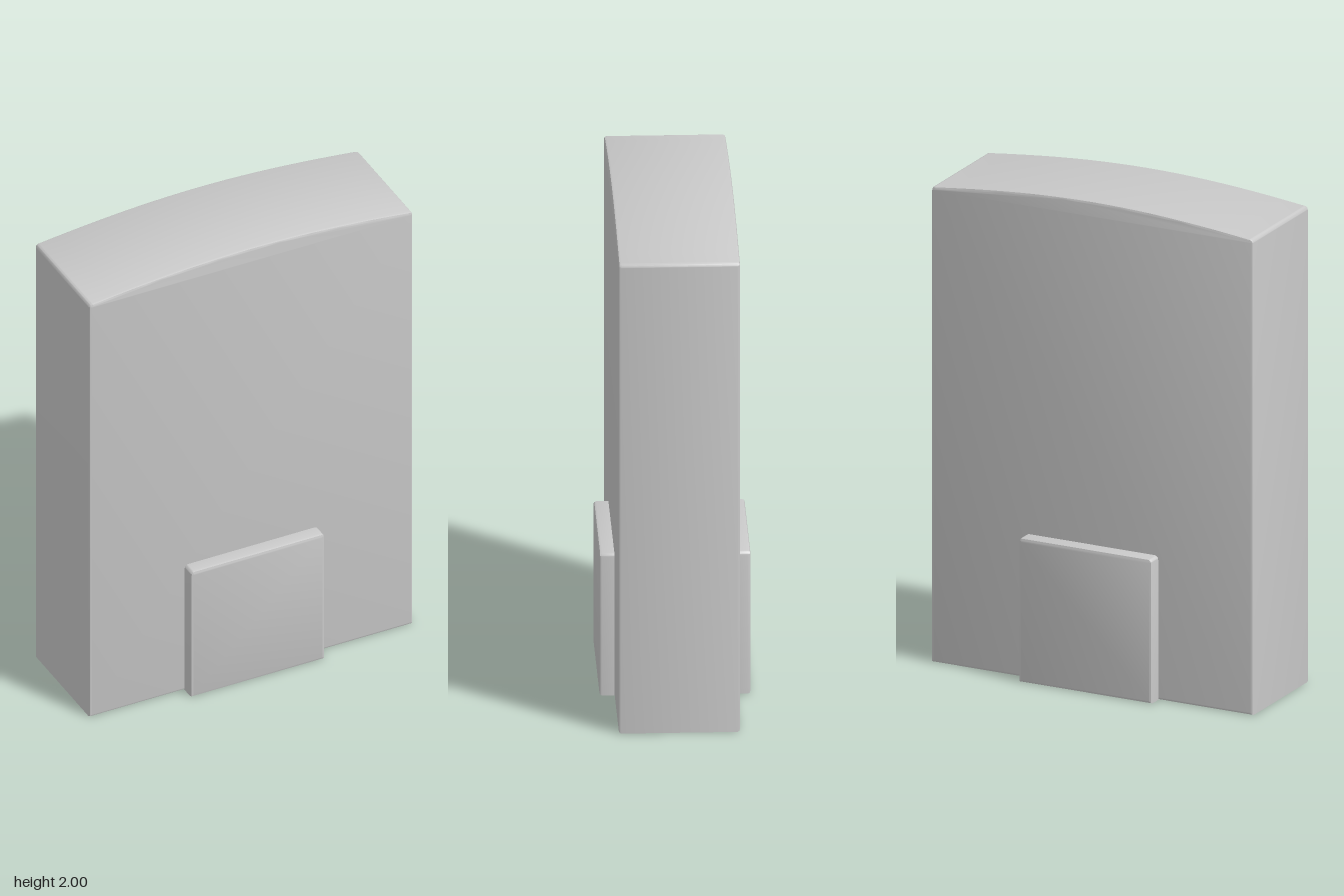
import * as THREE from 'three';
import { toCreasedNormals } from 'three/addons/utils/BufferGeometryUtils.js';

const BEVEL = 0.01;

// Upright slab with softened edges; the top rises by `rise` in a shallow arch
function slab(halfWidth, height, depth, rise) {
  const w = halfWidth - BEVEL, top = height - BEVEL, side = top - rise, r = 0.008;
  const shape = new THREE.Shape();
  shape.moveTo(-w, BEVEL);
  shape.lineTo(w, BEVEL);
  shape.lineTo(w, side - r);
  shape.quadraticCurveTo(w, side, w - r, side);
  if (rise > 0) {
    shape.bezierCurveTo(w * 0.6, side + rise * 0.7, w * 0.3, top, 0, top);
    shape.bezierCurveTo(-w * 0.3, top, -w * 0.6, side + rise * 0.7, -w + r, side);
  } else {
    shape.lineTo(-w + r, side);
  }
  shape.quadraticCurveTo(-w, side, -w, side - r);
  shape.closePath();
  const geometry = new THREE.ExtrudeGeometry(shape, {
    depth: depth - 2 * BEVEL, curveSegments: 10,
    bevelEnabled: true, bevelThickness: BEVEL, bevelSize: BEVEL, bevelSegments: 2,
  });
  geometry.translate(0, 0, -depth / 2 + BEVEL);
  return toCreasedNormals(geometry, 0.5);
}

export function createModel() {
  const model = new THREE.Group();
  model.name = 'archedSlab';
  const grey = new THREE.MeshStandardMaterial({ color: 0xc8c8c8 });
  grey.name = 'light grey';

  // Main body with arched top
  const body = new THREE.Mesh(slab(0.705, 2, 0.472, 0.047), grey);
  body.name = 'body';
  model.add(body);

  // Raised square plates at the foot of the front and back
  const plateGeometry = slab(0.291, 0.592, 0.12, 0);
  for (const [name, z] of [['frontPlate', 1], ['backPlate', -1]]) {
    const plate = new THREE.Mesh(plateGeometry, grey);
    plate.name = name;
    plate.position.z = z * 0.234;
    model.add(plate);
  }
  return model;
}
